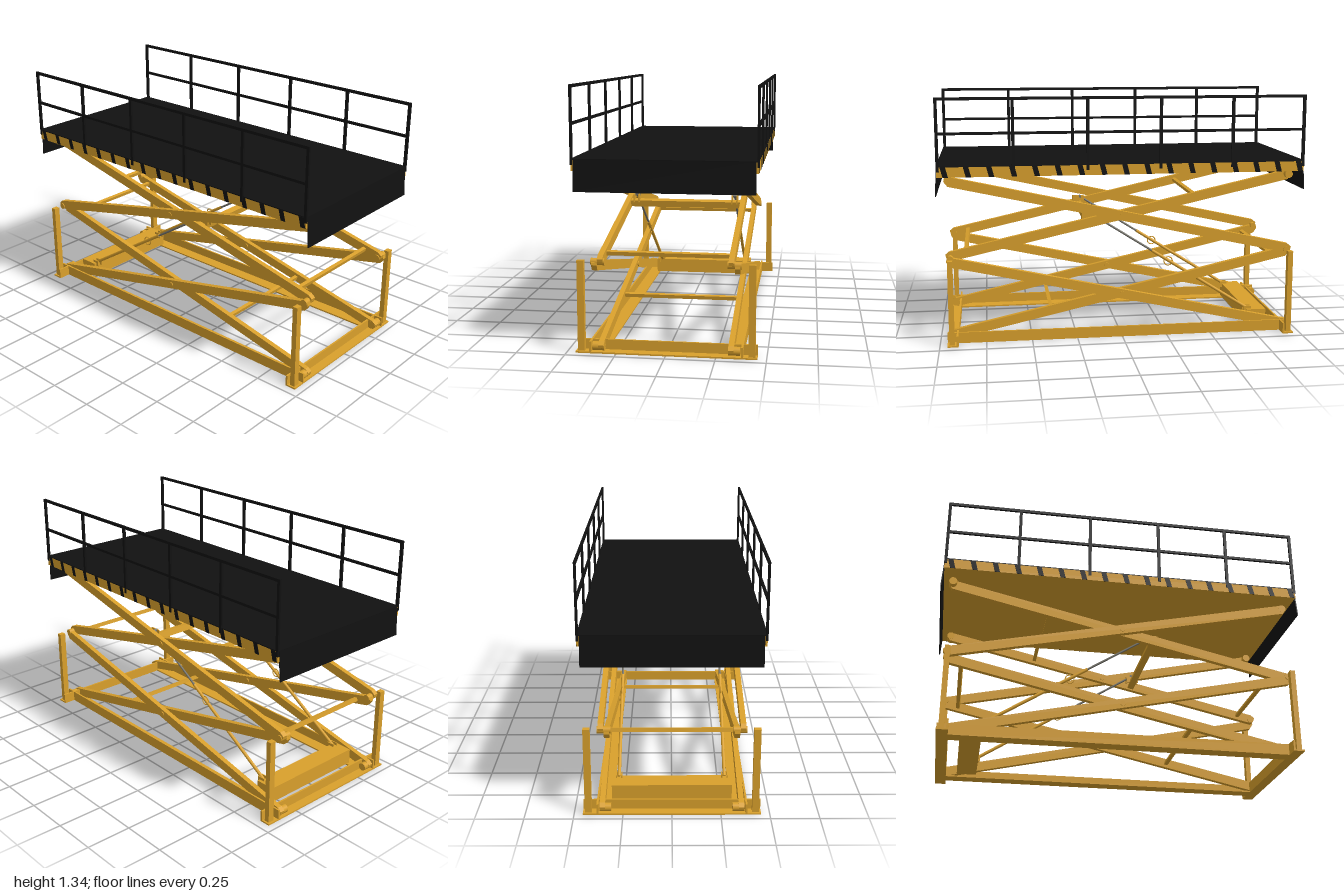
import * as THREE from 'three';

const yellow = new THREE.MeshStandardMaterial({ color: 0xd9a02c });
const black = new THREE.MeshStandardMaterial({ color: 0x111111 });
const steel = new THREE.MeshStandardMaterial({ color: 0x77756c });

export function createModel() {
  const root = new THREE.Group();

  const add = (name, geometry, material, x = 0, y = 0, z = 0) => {
    const mesh = new THREE.Mesh(geometry, material);
    mesh.name = name;
    mesh.position.set(x, y, z);
    root.add(mesh);
    return mesh;
  };
  // box given by its limits on each axis
  const box = (name, material, x0, x1, y0, y1, z0, z1) =>
    add(name, new THREE.BoxGeometry(Math.abs(x1 - x0), y1 - y0, Math.abs(z1 - z0)), material,
      (x0 + x1) / 2, (y0 + y1) / 2, (z0 + z1) / 2);
  // round bar between two points
  const rod = (name, material, a, b, r, sides = 16) => {
    const d = b.clone().sub(a);
    const mesh = add(name, new THREE.CylinderGeometry(r, r, d.length(), sides), material);
    mesh.position.copy(a).addScaledVector(d, 0.5);
    mesh.quaternion.setFromUnitVectors(new THREE.Vector3(0, 1, 0), d.normalize());
    return mesh;
  };
  const V = (x, y, z) => new THREE.Vector3(x, y, z);
  const sides = [-1, 1];

  // base frame: angle sections on all four sides, with corner posts
  for (const s of sides) {
    box('baseEndWall', yellow, s * 0.9, s * 0.91, 0, 0.06, -0.455, 0.455);
    box('baseEndFlange', yellow, s * 0.9, s * 0.96, 0, 0.008, -0.455, 0.455);
    box('baseRailWall', yellow, -0.96, 0.96, 0, 0.06, s * 0.375, s * 0.385);
    box('baseRailFlange', yellow, -0.96, 0.96, 0, 0.008, s * 0.305, s * 0.385);
    for (const t of sides) {
      box('cornerPost', yellow, t * 0.921, t * 0.949, 0.008, 0.47, s * 0.41, s * 0.445);
    }
  }
  box('cylinderCrossbeam', yellow, -0.84, -0.73, 0.02, 0.105, -0.312, 0.312);

  // scissor legs: flat bars with chamfered ends
  const L = 0.98, H = 0.026, C = 0.025;
  const legShape = new THREE.Shape([
    [-L, -H + C], [-L + C, -H], [L - C, -H], [L, -H + C],
    [L, H - C / 2], [L - C, H], [-L + C, H], [-L, H - C / 2],
  ].map(([x, y]) => new THREE.Vector2(x, y)));
  const legGeo = new THREE.ExtrudeGeometry(legShape, { depth: 0.028, bevelEnabled: false });
  legGeo.translate(0, 0, -0.014);
  const levels = [0.24, 0.68];
  const tilt = Math.atan2(0.21, 0.95);
  for (const s of sides) {
    for (const y of levels) {
      add('outerLeg', legGeo, yellow, 0, y, s * 0.355).rotation.z = tilt;
      add('innerLeg', legGeo, yellow, 0, y, s * 0.325).rotation.z = -tilt;
      rod('centrePin', yellow, V(0, y, s * 0.305), V(0, y, s * 0.373), 0.014);
    }
    for (const t of sides) {
      rod('endPin', yellow, V(t * 0.935, 0.465, s * 0.305), V(t * 0.935, 0.465, s * 0.374), 0.018);
      rod('footRoller', yellow, V(t * 0.935, 0.033, s * 0.31), V(t * 0.935, 0.033, s * 0.37), 0.022);
      rod('topRoller', yellow, V(t * 0.935, 0.893, s * 0.31), V(t * 0.935, 0.893, s * 0.37), 0.022);
    }
  }

  // square tubes joining the inner legs
  const ties = [[0, -0.86, 0.02], [0, 0.39, 0.02], [1, 0.85, 0.02], [1, 0.18, 0.036], [1, -0.42, 0.02]];
  for (const [level, x, size] of ties) {
    const y = levels[level] - x * Math.tan(tilt);
    add('legTie', new THREE.BoxGeometry(size, size, 0.63), yellow, x, y, 0).rotation.z = -tilt;
  }

  // lifting cylinders with hose loops and mounts
  for (const s of sides) {
    const z = s * 0.278;
    const foot = V(-0.74, 0.105, z), neck = V(-0.18, 0.462, z), head = V(0.17, 0.685, z);
    rod('cylinderBarrel', yellow, foot, neck, 0.009);
    rod('cylinderRod', steel, neck, head, 0.006);
    add('hoseLoop', new THREE.TorusGeometry(0.024, 0.003, 8, 24), yellow, -0.275, 0.398, z);
    for (const t of sides) {
      box('cylinderLug', yellow, 0.145, 0.215, 0.645, 0.69, z + t * 0.014 - 0.003, z + t * 0.014 + 0.003);
      box('cylinderFootLug', yellow, -0.76, -0.715, 0.085, 0.12, z + t * 0.014 - 0.003, z + t * 0.014 + 0.003);
    }
    rod('cylinderPin', steel, V(0.17, 0.685, z - 0.018), V(0.17, 0.685, z + 0.018), 0.007);
  }

  // platform with a dark deck
  box('platform', yellow, -0.988, 0.988, 0.922, 0.976, -0.455, 0.455);
  box('deck', black, -0.99, 0.99, 0.976, 0.981, -0.455, 0.455);

  // slanted warning stripes on both long edges
  const stripe = new THREE.Shape([[-0.02, 0.027], [-0.006, -0.027], [0.022, -0.027], [0.008, 0.027]]
    .map(([x, y]) => new THREE.Vector2(x, y)));
  const stripeGeo = new THREE.ExtrudeGeometry(stripe, { depth: 0.002, bevelEnabled: false });
  for (let i = 0; i < 17; i++) {
    for (const s of sides) {
      const mesh = add('warningStripe', stripeGeo, black, s * (-0.95 + i * 0.1195), 0.949, s * 0.4545);
      if (s < 0) mesh.rotation.y = Math.PI;
    }
  }

  // hinged end flaps, hanging slightly outwards
  for (const s of sides) {
    add('endFlap', new THREE.BoxGeometry(0.006, 0.16, 0.886), black, s * 0.991, 0.9, 0).rotation.z = s * 0.07;
  }

  // guard rails
  for (const s of sides) {
    const z0 = s * 0.446, z1 = s * 0.458;
    for (let i = 0; i < 6; i++) {
      const x = -0.982 + i * 0.3928;
      box('railPost', black, x - 0.008, x + 0.008, 0.95, 1.335, z0, z1);
    }
    box('topRail', black, -0.99, 0.99, 1.322, 1.337, z0, z1);
    box('midRail', black, -0.982, 0.982, 1.143, 1.157, z0, z1);
  }

  return root;
}
